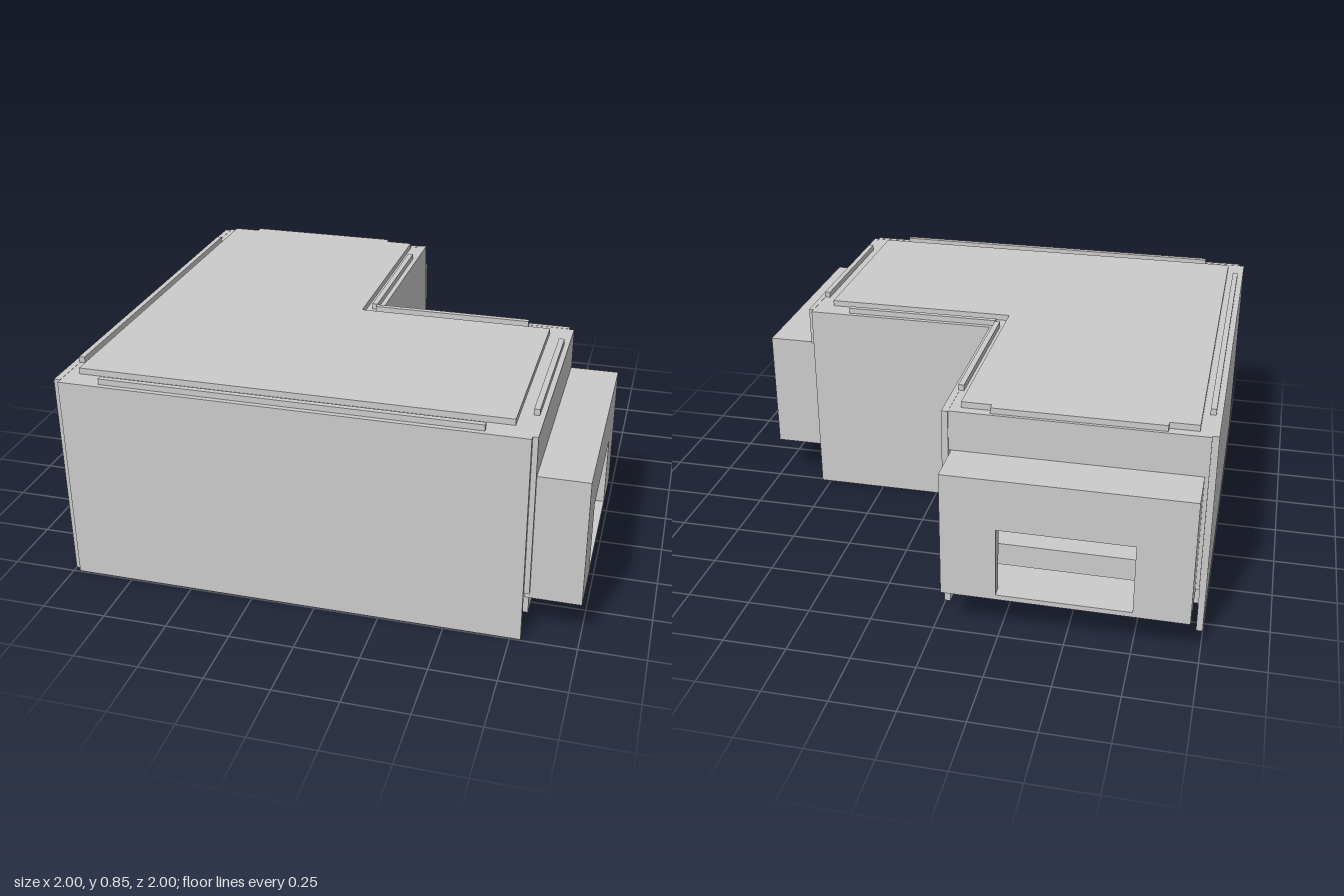
import * as THREE from 'three';

const mat = new THREE.MeshStandardMaterial({ color: 0xcccccc, flatShading: true });

// Box given by its min and max on each axis
function box(parent, name, x0, x1, y0, y1, z0, z1) {
  const mesh = new THREE.Mesh(new THREE.BoxGeometry(x1 - x0, y1 - y0, z1 - z0), mat);
  mesh.position.set((x0 + x1) / 2, (y0 + y1) / 2, (z0 + z1) / 2);
  mesh.name = name;
  parent.add(mesh);
}

// Flat slab from a plan outline of [x, z] points
function slab(parent, name, pts, y0, y1) {
  const shape = new THREE.Shape(pts.map(([x, z]) => new THREE.Vector2(x, -z)));
  const geo = new THREE.ExtrudeGeometry(shape, { depth: y1 - y0, bevelEnabled: false });
  geo.rotateX(-Math.PI / 2);
  geo.translate(0, y0, 0);
  const mesh = new THREE.Mesh(geo, mat);
  mesh.name = name;
  parent.add(mesh);
}

// Projecting bay with a window; local +z points outward from the wing end
function makeBay(name, stripSide) {
  const bay = new THREE.Group();
  bay.name = name;
  const w = 0.465, y0 = 0.165, y1 = 0.67, d = 0.21, t = 0.02;

  // window wall
  const shape = new THREE.Shape();
  shape.moveTo(-w, y0).lineTo(w, y0).lineTo(w, y1).lineTo(-w, y1).closePath();
  const hole = new THREE.Path();
  hole.moveTo(-0.255, 0.185).lineTo(-0.255, 0.465).lineTo(0.255, 0.465).lineTo(0.255, 0.185).closePath();
  shape.holes.push(hole);
  const geo = new THREE.ExtrudeGeometry(shape, { depth: 0.05, bevelEnabled: false });
  geo.translate(0, 0, d - 0.05);
  const face = new THREE.Mesh(geo, mat);
  face.name = 'windowWall';
  bay.add(face);

  // shell, open toward the room
  box(bay, 'bayFloor', -w, w, y0, y0 + t, 0, d - 0.05);
  box(bay, 'bayRoof', -w, w, y1 - t, y1, 0, d - 0.05);
  for (const s of [-1, 1]) {
    const a = s * w, b = s * (w - t);
    box(bay, 'baySide', Math.min(a, b), Math.max(a, b), y0 + t, y1 - t, 0, d - 0.05);
  }

  // end wall above the bay and its narrow side strip
  box(bay, 'endWallTop', -0.48, 0.48, y1, 0.83, 0, t);
  const c = stripSide * 0.4725;
  box(bay, 'endWallStrip', c - 0.0075, c + 0.0075, 0.19, y1, 0, t);
  return bay;
}

export function createModel() {
  const model = new THREE.Group();
  model.name = 'lShapedBuilding';

  // outer walls
  box(model, 'frontWall', -0.975, 0.79, 0, 0.83, 0.975, 0.995);
  box(model, 'leftWall', -1, -0.975, 0, 0.83, -0.8, 0.975);
  // walls around the inner corner
  box(model, 'innerSideWall', -0.02, 0.005, 0, 0.83, -0.815, -0.01);
  box(model, 'innerBackWall', -0.02, 0.79, 0, 0.83, -0.01, 0.01);

  // base, stopping short of the front wall and the back bay
  slab(model, 'base', [[-0.975, 0.82], [0.79, 0.82], [0.79, 0], [-0.01, 0], [-0.01, -0.62], [-0.975, -0.62]], 0, 0.165);

  // roof plate and raised roof panel
  slab(model, 'roof', [[-0.975, 0.975], [0.79, 0.975], [0.79, 0], [-0.01, 0], [-0.01, -0.79], [-0.975, -0.79]], 0.81, 0.829);
  slab(model, 'roofPanel', [
    [-0.93, 0.905], [0.72, 0.905], [0.72, 0.08], [-0.06, 0.08], [-0.06, -0.77], [-0.175, -0.77],
    [-0.175, -0.797], [-0.82, -0.797], [-0.82, -0.77], [-0.93, -0.77],
  ], 0.829, 0.853);

  // thin rails along the roof edges: x0, x1, z0, z1
  const rails = [
    [-0.977, -0.955, -0.63, 0.81],
    [-0.037, -0.015, -0.63, 0.005],
    [-0.015, 0.625, 0.01, 0.032],
    [0.768, 0.79, 0.17, 0.81],
    [-0.82, 0.625, 0.953, 0.975],
  ];
  for (const [x0, x1, z0, z1] of rails) box(model, 'roofRail', x0, x1, 0.829, 0.853, z0, z1);

  // bays on the two wing ends
  const rightBay = makeBay('rightBay', -1);
  rightBay.position.set(0.79, 0, 0.495);
  rightBay.rotation.y = Math.PI / 2;
  const backBay = makeBay('backBay', 1);
  backBay.position.set(-0.495, 0, -0.79);
  backBay.rotation.y = Math.PI;
  model.add(rightBay, backBay);

  return model;
}
